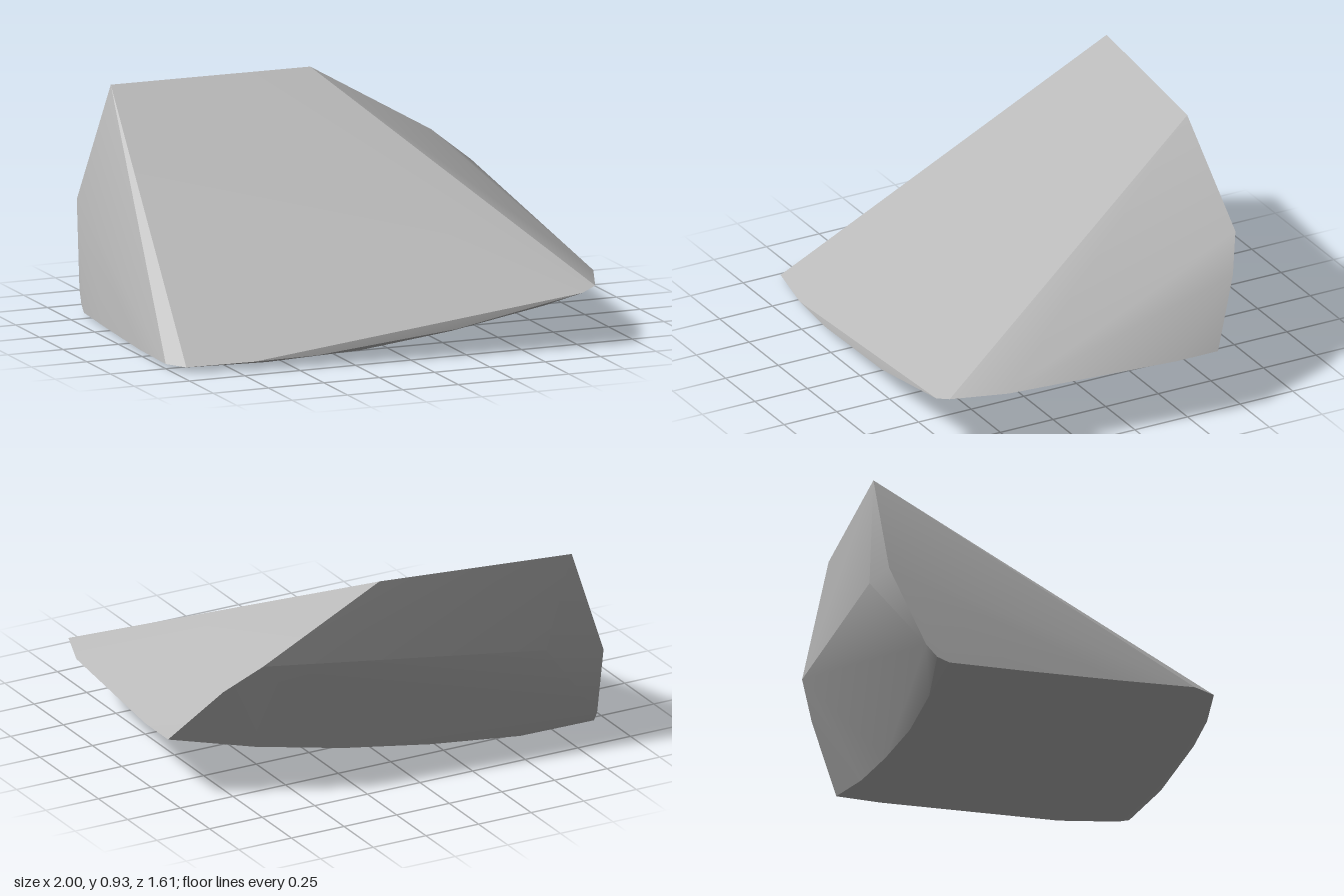
import * as THREE from 'three';
import { ConvexGeometry } from 'three/addons/geometries/ConvexGeometry.js';
import { toCreasedNormals } from 'three/addons/utils/BufferGeometryUtils.js';

const v = ([x, y, z]) => new THREE.Vector3(x, y, z);

export function createModel() {
  const stone = new THREE.MeshStandardMaterial({ color: 0xb8b8b8 });
  stone.name = 'stone grey';

  // high back ridge, falling away to the left-hand tip
  const ridge = [
    [-0.69, 0.91, -0.805], [0.17, 0.93, -0.71], [0.69, 0.63, -0.65],
    [0.83, 0.51, -0.56], [1, 0.27, -0.395],
  ];
  // rim along the +x side
  const sideRim = [[1, 0.27, -0.2], [0.91, 0.26, 0.55], [0.82, 0.25, 0.78]];
  // thin front lip
  const frontLip = [
    [0.75, 0.23, 0.805], [0.2, 0.115, 0.757], [-0.4, 0.045, 0.698],
    [-0.67, 0.035, 0.665], [-0.95, 0.022, 0.6], [-1, 0.02, 0.5],
  ];
  // bevelled back corner on the -x side
  const backCorner = [
    [-0.85, 0.44, -0.79], [-0.58, 0.49, -0.785], [-0.9, 0.09, -0.645],
    [-0.91, 0.035, -0.6], [-0.92, 0.012, -0.55],
  ];
  // underside: arcs across x, curving up towards +x
  const underside = [
    [-0.945, 0.01, -0.25], [-0.98, 0.012, 0.18],
    [-0.6, 0.003, -0.53], [-0.2, 0.03, -0.48], [0.2, 0.085, -0.45], [0.6, 0.163, -0.42],
    [-0.6, 0, 0], [-0.2, 0.026, 0], [0.2, 0.081, 0], [0.6, 0.16, 0],
    [-0.6, 0.02, 0.63], [-0.2, 0.045, 0.68], [0.2, 0.098, 0.71], [0.6, 0.178, 0.75],
  ];

  const points = [...ridge, ...sideRim, ...frontLip, ...backCorner, ...underside].map(v);
  const geometry = toCreasedNormals(new ConvexGeometry(points), 0.42);

  const rock = new THREE.Mesh(geometry, stone);
  rock.name = 'rock';
  const group = new THREE.Group();
  group.name = 'slantedRock';
  group.add(rock);
  return group;
}
